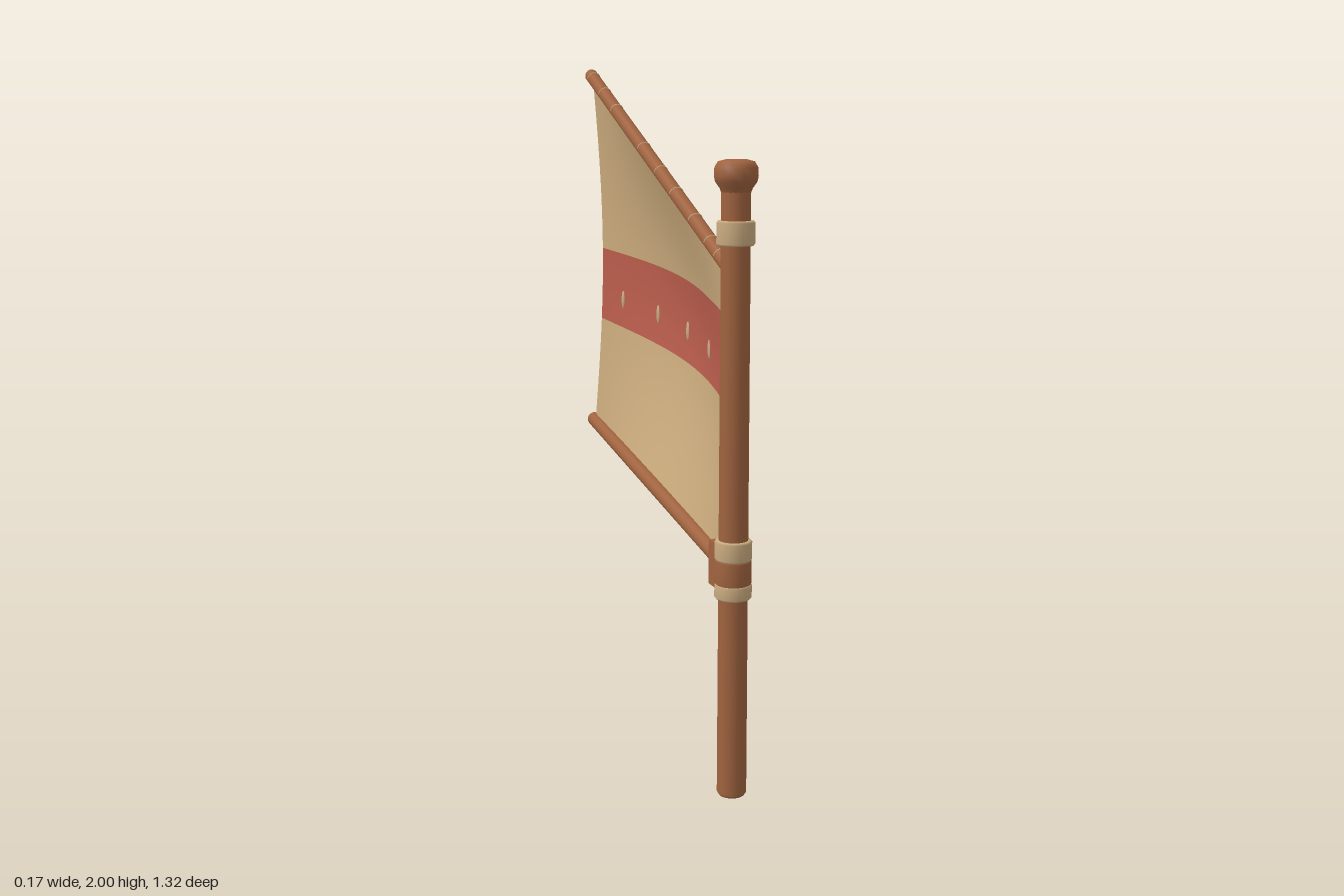
import * as THREE from 'three';

const X = -0.03;          // centre plane of mast and spars
const MAST_Z = 0.605;
const LUFF = 0.553, LEECH = -0.625;

const material = (name, color, side = THREE.FrontSide) => {
  const m = new THREE.MeshStandardMaterial({ color, side });
  m.name = name;
  return m;
};

export function createModel() {
  const wood = material('wood', 0xa0633f);
  const rope = material('rope', 0xcaab80);
  const canvas = material('canvas', 0xcaaa7c, THREE.DoubleSide);
  const red = material('red band', 0xba5d4c, THREE.DoubleSide);

  const model = new THREE.Group();
  model.name = 'sail';
  const add = (name, geometry, mat, x = 0, y = 0, z = 0) => {
    const mesh = new THREE.Mesh(geometry, mat);
    mesh.name = name;
    mesh.position.set(x, y, z);
    model.add(mesh);
    return mesh;
  };
  const lathe = (pts, sides) =>
    new THREE.LatheGeometry(pts.map(([r, y]) => new THREE.Vector2(r, y)), sides);

  // Mast with a softened foot, and a knob on top
  add('mast', lathe([[0, 0], [0.036, 0], [0.041, 0.008], [0.039, 1.68]], 20), wood, X, 0, MAST_Z);
  add('mastKnob', lathe([[0.038, 1.655], [0.043, 1.668], [0.055, 1.685], [0.058, 1.7],
    [0.057, 1.722], [0.048, 1.737], [0.03, 1.742], [0, 1.743]], 16), wood, X, 0, MAST_Z);

  // Collars wrapped round the mast
  const collar = (name, y0, y1, mat, r = 0.051) =>
    add(name, lathe([[0.038, y0], [r - 0.004, y0], [r, y0 + 0.005], [r, y1 - 0.005],
      [r - 0.004, y1], [0.038, y1]], 20), mat, X, 0, MAST_Z);
  collar('upperCollar', 1.52, 1.585, rope);
  collar('lowerCollarTop', 0.672, 0.728, rope);
  collar('lowerCollarMiddle', 0.603, 0.674, wood, 0.05);
  collar('lowerCollarBottom', 0.565, 0.607, rope);
  add('boomBracket', new THREE.BoxGeometry(0.07, 0.125, 0.062), wood, X, 0.646, 0.544);

  // Spars with round ends
  const spar = (name, a, b, r) => {
    const dir = b.clone().sub(a);
    const mesh = add(name, new THREE.CapsuleGeometry(r, dir.length(), 5, 14), wood);
    mesh.position.copy(a).lerp(b, 0.5);
    mesh.quaternion.setFromUnitVectors(new THREE.Vector3(0, 1, 0), dir.normalize());
    return mesh;
  };
  const gaffA = new THREE.Vector3(X, 1.462, 0.552), gaffB = new THREE.Vector3(X, 1.978, -0.639);
  const boomA = new THREE.Vector3(X, 0.645, 0.53), boomB = new THREE.Vector3(X, 0.832, -0.639);
  spar('upperSpar', gaffA, gaffB, 0.021);
  spar('lowerSpar', boomA, boomB, 0.023);

  // Thin lashings over the top of the upper spar
  const slope = Math.atan2(gaffB.y - gaffA.y, gaffA.z - gaffB.z);
  for (const z of [0.5, 0.43, 0.31, 0.16, 0.03, -0.12, -0.38, -0.5, -0.615]) {
    const arc = new THREE.TorusGeometry(0.0195, 0.003, 5, 10, Math.PI);
    const p = gaffA.clone().lerp(gaffB, (gaffA.z - z) / (gaffA.z - gaffB.z));
    add('lashing', arc, rope, p.x, p.y, p.z).rotation.x = slope;
  }

  // Billowed cloth: u runs from luff to leech, y between the two spars
  const lineY = (a, b, z) => a.y + (b.y - a.y) * (a.z - z) / (a.z - b.z);
  const clothPoint = (u, y) => {
    const z = THREE.MathUtils.lerp(LUFF, LEECH, u);
    const low = lineY(boomA, boomB, z), high = lineY(gaffA, gaffB, z);
    const v = THREE.MathUtils.clamp((y - low) / (high - low), 0, 1);
    const depth = 0.015 + 0.015 * u + 0.087 * Math.sin(Math.PI * u);
    return [X + depth * Math.sin(Math.PI * v), y, z];
  };
  const bottom = u => lineY(boomA, boomB, THREE.MathUtils.lerp(LUFF, LEECH, u));
  const top = u => lineY(gaffA, gaffB, THREE.MathUtils.lerp(LUFF, LEECH, u));
  const bandLow = u => 1.05 + 0.13 * u;
  const bandHigh = u => 1.32 + 0.095 * u;

  const clothStrip = (name, u0, u1, low, high, mat, nu, nv) => {
    const pos = [], idx = [];
    for (let i = 0; i <= nu; i++) {
      const u = u0 + (u1 - u0) * i / nu;
      for (let j = 0; j <= nv; j++) {
        pos.push(...clothPoint(u, low(u) + (high(u) - low(u)) * j / nv));
        if (i < nu && j < nv) {
          const a = i * (nv + 1) + j, b = a + nv + 1;
          idx.push(a, b, b + 1, a, b + 1, a + 1);
        }
      }
    }
    const g = new THREE.BufferGeometry();
    g.setAttribute('position', new THREE.Float32BufferAttribute(pos, 3));
    g.setIndex(idx);
    g.computeVertexNormals();
    add(name, g, mat);
  };
  const EDGE = 0.016;
  clothStrip('clothLuff', 0, EDGE, bottom, top, canvas, 1, 24);
  clothStrip('clothLower', EDGE, 1, bottom, bandLow, canvas, 24, 10);
  clothStrip('clothBand', EDGE, 1, bandLow, bandHigh, red, 24, 8);
  clothStrip('clothUpper', EDGE, 1, bandHigh, top, canvas, 24, 10);

  // Small studs along the band, showing on both faces
  [0.41, 0.195, -0.03, -0.26, -0.49].forEach((z, i) => {
    const u = (LUFF - z) / (LUFF - LEECH);
    const stud = add('bandStud', new THREE.SphereGeometry(1, 10, 8), rope,
      ...clothPoint(u, 1.162 + 0.023 * i));
    stud.scale.set(0.005, 0.03, 0.011);
  });

  return model;
}
